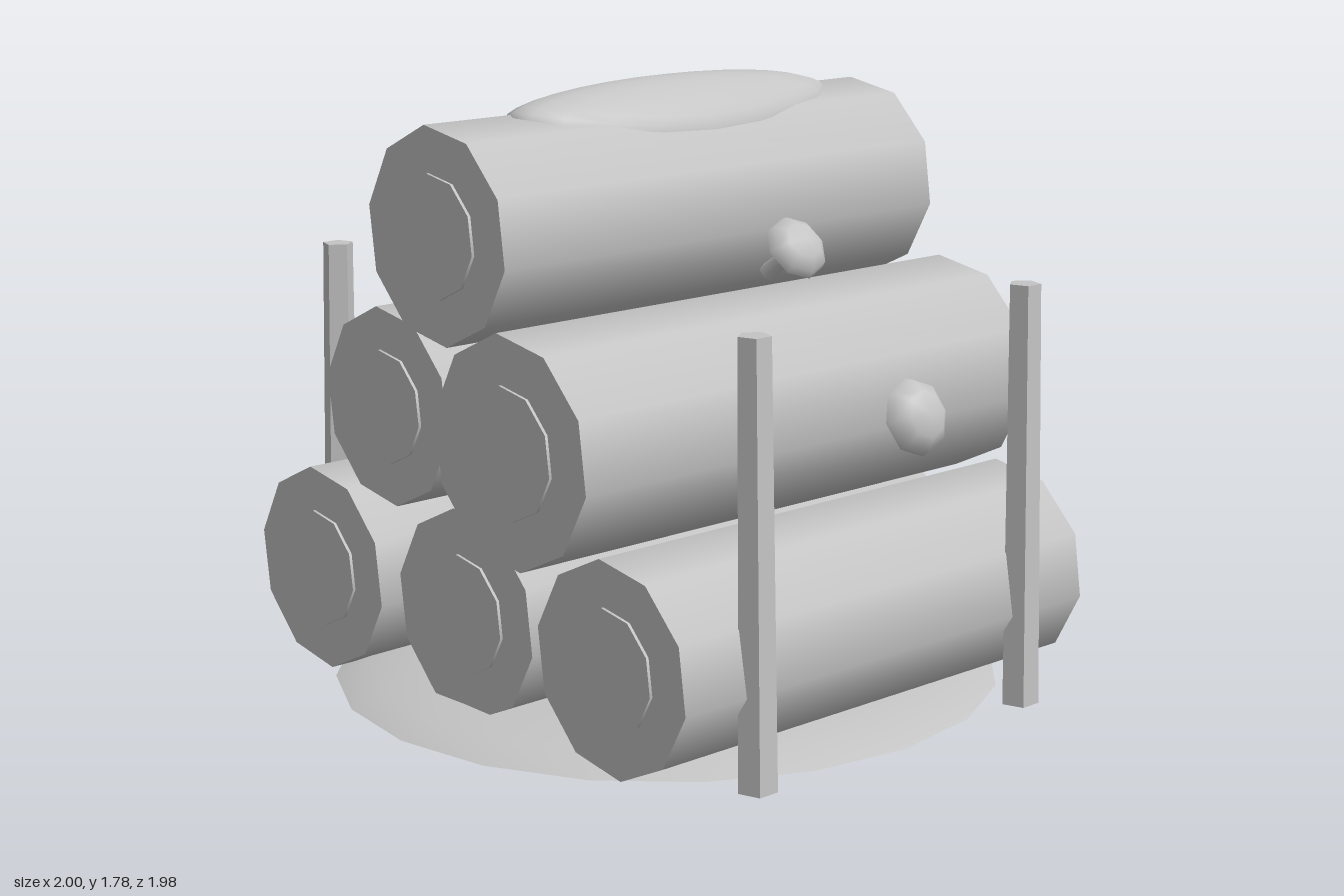
import * as THREE from 'three';
import { mergeVertices, toCreasedNormals } from 'three/addons/utils/BufferGeometryUtils.js';

const grey = new THREE.MeshStandardMaterial({ color: 0xc4c4c4 });
grey.name = 'plain grey';

function part(name, geometry, parent) {
  const mesh = new THREE.Mesh(geometry, grey);
  mesh.name = name;
  parent.add(mesh);
  return mesh;
}

const lathe = (pts, sides) =>
  toCreasedNormals(new THREE.LatheGeometry(pts.map(p => new THREE.Vector2(...p)), sides), 1);

// ten-sided log lying along x, with a thin raised disc on each end
function log(parent, x0, x1, y, z, r) {
  const group = new THREE.Group();
  group.name = 'log';
  const lying = (radius, length) =>
    new THREE.CylinderGeometry(radius, radius, length, 10, 1, false, Math.PI / 18).rotateZ(-Math.PI / 2);
  part('logBody', lying(r, x1 - x0), group);
  part('logEndRings', lying(r * 0.57, x1 - x0 + 0.018), group);
  group.position.set((x0 + x1) / 2, y, z);
  parent.add(group);
}

// tapered five-sided post leaning in towards the pile
function stake(parent, x, side) {
  const geo = new THREE.CylinderGeometry(0.047, 0.056, 1.235, 5, 1, false, side > 0 ? Math.PI : 0);
  const p = geo.attributes.position;
  for (let i = 0; i < p.count; i++) {
    const y = p.getY(i) + 0.6175;
    p.setXYZ(i, p.getX(i), y, p.getZ(i) + side * (0.94 - 0.025 * y / 1.235));
  }
  part('stake', toCreasedNormals(geo, 0.5), parent).position.x = x;
}

// domed cap on a flared stem, growing along the given direction
function mushroom(parent, at, dir, r, h) {
  const group = new THREE.Group();
  group.name = 'mushroom';
  part('mushroomCap', lathe([[0, 0.012], [r, 0], [r * 0.93, h * 0.4], [r * 0.6, h * 0.83], [0, h]], 8), group);
  part('mushroomStem', new THREE.CylinderGeometry(0.019, 0.029, 0.15, 6), group).position.y = -0.06;
  group.position.set(...at);
  group.quaternion.setFromUnitVectors(new THREE.Vector3(0, 1, 0), new THREE.Vector3(...dir).normalize());
  parent.add(group);
}

// smooth moss patch draped over the top log
function moss(parent) {
  let geo = new THREE.SphereGeometry(1, 20, 8, 0, Math.PI * 2, 0, Math.PI / 2);
  geo.deleteAttribute('uv');
  geo.deleteAttribute('normal');
  const p = geo.attributes.position;
  for (let i = 0; i < p.count; i++) {
    const a = p.getX(i), b = p.getY(i), c = p.getZ(i);
    const z = 0.21 * c - 0.025;
    // the front edge is blunter than the back edge
    const x = 0.025 + 0.585 * a * (1 + 0.12 * Math.max(0, c) * Math.abs(a));
    p.setXYZ(i, x, 1.708 - 1.9 * z * z + 0.077 * b, z);
  }
  geo = mergeVertices(geo, 1e-4);
  geo.computeVertexNormals();
  part('moss', geo, parent);
}

export function createModel() {
  const model = new THREE.Group();
  model.name = 'logPile';

  // low earth mound with a flat underside
  const mound = lathe([[0, 0], [1, 0], [0.9, 0.04], [0.7, 0.058], [0.35, 0.075], [0, 0.08]], 20);
  mound.scale(1, 1, 0.988);
  part('groundMound', mound, model);

  // three logs below, two in the middle, one on top
  [
    [-0.787, 0.787, 0.32, 0.645, 0.303],
    [-0.77, 0.868, 0.32, 0, 0.305],
    [-0.803, 0.822, 0.32, -0.65, 0.305],
    [-0.862, 0.875, 0.865, 0.32, 0.326],
    [-0.785, 0.855, 0.867, -0.328, 0.29],
    [-0.849, 0.802, 1.41, 0, 0.305],
  ].forEach(l => log(model, ...l));

  for (const side of [1, -1]) for (const x of [-0.525, 0.53]) stake(model, x, side);

  moss(model);
  mushroom(model, [0.06, 1.33, 0.47], [0, 0.61, 0.79], 0.097, 0.06);
  mushroom(model, [0.352, 0.83, 0.667], [0, 0.33, 0.94], 0.115, 0.07);
  return model;
}
